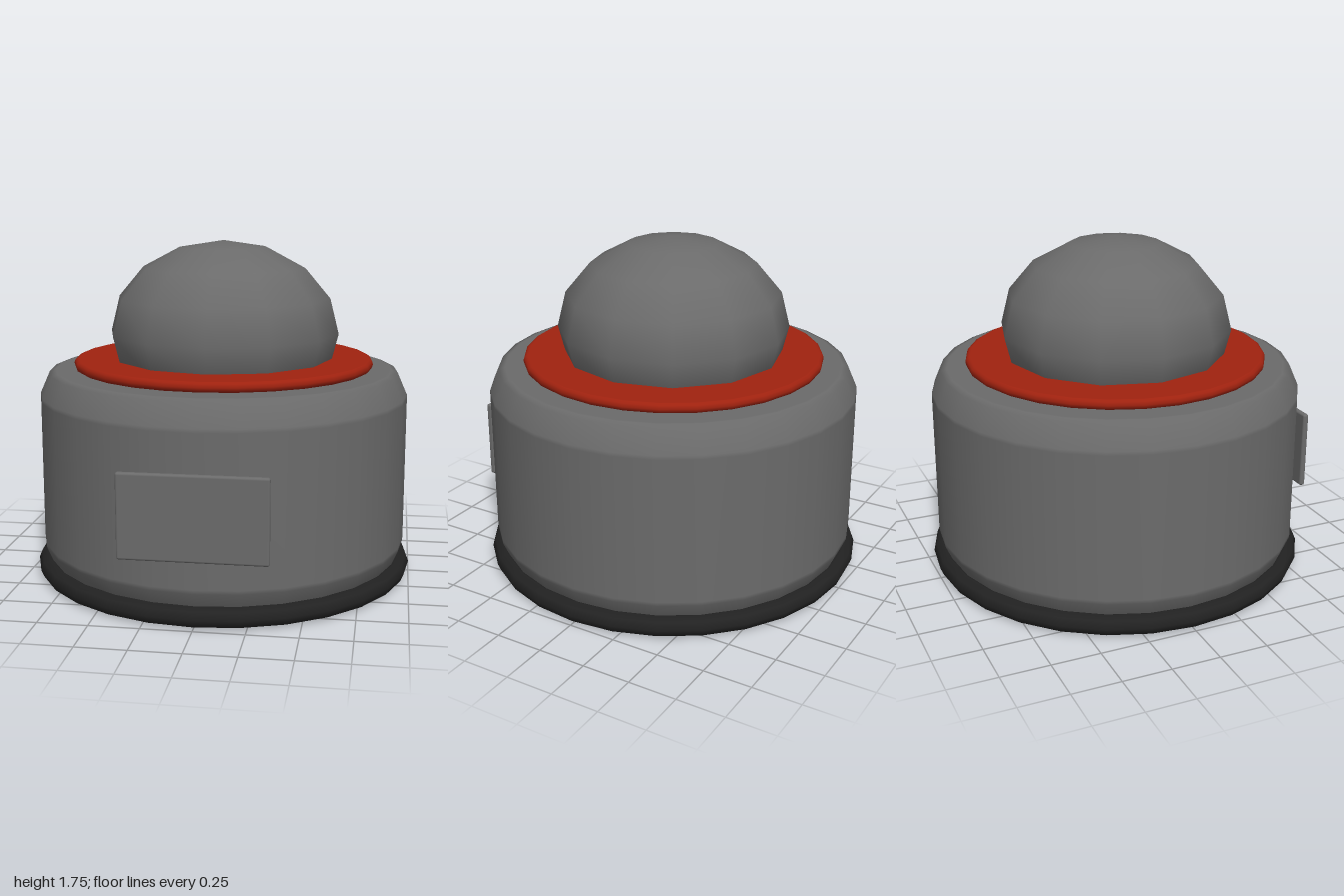
import * as THREE from 'three';
import { RoundedBoxGeometry } from 'three/addons/geometries/RoundedBoxGeometry.js';

const SIDES = 28;

export function createModel() {
  const model = new THREE.Group();
  const grey = new THREE.MeshStandardMaterial({ color: 0x6b6b6b });
  const red = new THREE.MeshStandardMaterial({ color: 0xa0220f });
  const black = new THREE.MeshStandardMaterial({ color: 0x222222 });
  grey.name = 'housing grey';
  red.name = 'collar red';
  black.name = 'rubber black';

  const add = (name, geometry, material, y = 0, z = 0) => {
    const mesh = new THREE.Mesh(geometry, material);
    mesh.name = name;
    mesh.position.set(0, y, z);
    model.add(mesh);
    return mesh;
  };
  // Turned part from [radius, height] pairs, listed bottom to top
  const turned = (points) =>
    new THREE.LatheGeometry(points.map(([r, y]) => new THREE.Vector2(r, y)), SIDES);

  // Drum housing with softened rims and closed ends
  add('housing', turned([
    [0, 0.045], [0.875, 0.045], [0.885, 0.045], [0.915, 0.056], [0.965, 0.17], [0.966, 0.19],
    [0.966, 0.94], [0.965, 0.96], [0.915, 1.074], [0.885, 1.085], [0.875, 1.085], [0, 1.085],
  ]), grey);

  // Rubber ring around the foot
  const foot = new THREE.TorusGeometry(0.9475, 0.0525, 8, SIDES);
  foot.rotateX(-Math.PI / 2);
  add('footRing', foot, black, 0.0525);

  // Thin flat collar with rounded edge
  add('collar', turned([
    [0, 1.09], [0.76, 1.09], [0.768, 1.09], [0.781, 1.098], [0.786, 1.115],
    [0.781, 1.132], [0.768, 1.14], [0.76, 1.14], [0, 1.14],
  ]), red);

  // Faceted-outline dome, partly sunk into the housing
  const dome = new THREE.SphereGeometry(1, 12, 8);
  dome.scale(0.605, 0.48, 0.605);
  add('dome', dome, grey, 1.27);

  // Front access panel
  add('frontPanel', new RoundedBoxGeometry(0.72, 0.42, 0.032, 2, 0.012), grey, 0.54, 0.977);

  return model;
}
